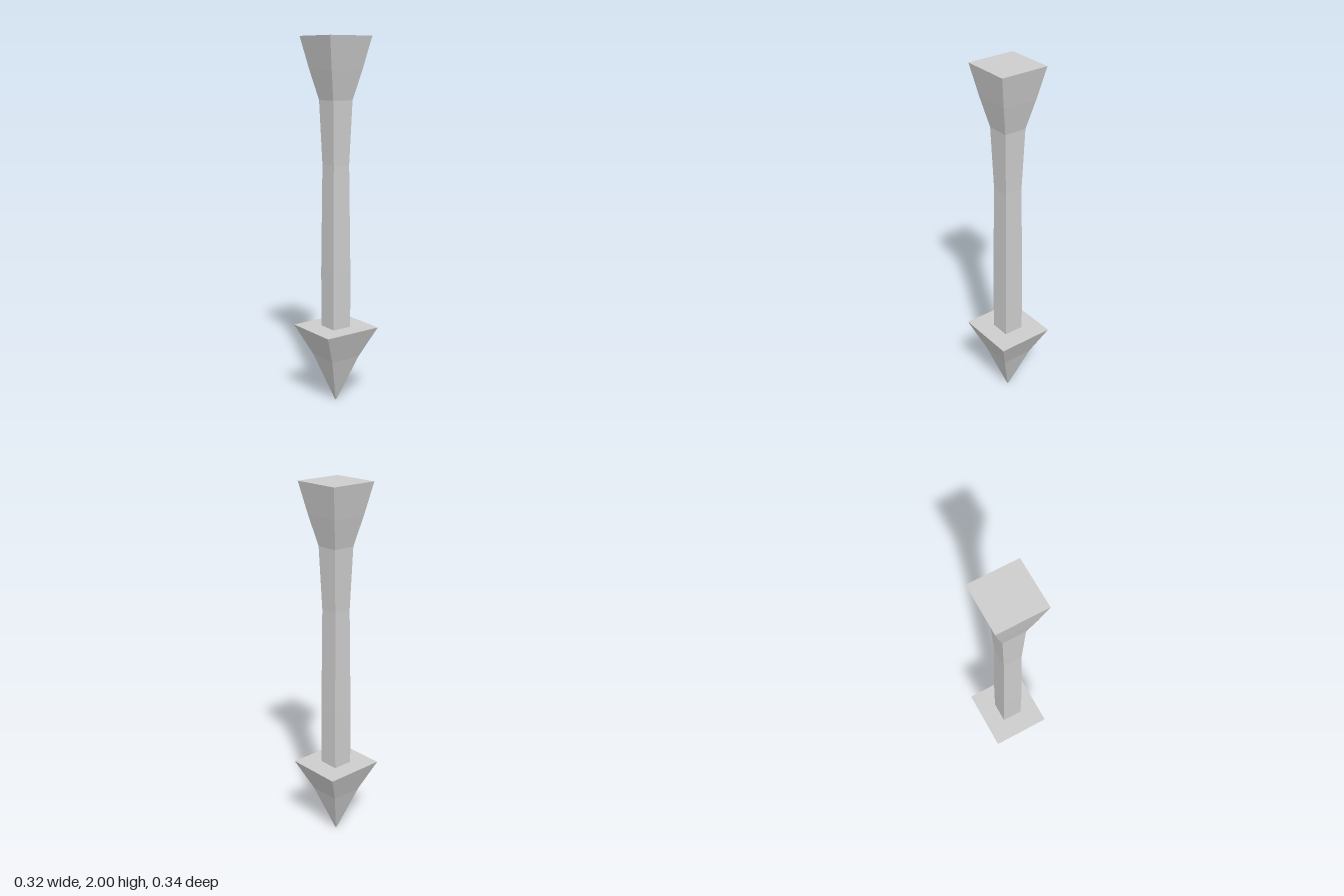
import * as THREE from 'three';

const stone = new THREE.MeshStandardMaterial({ color: 0xcccccc, flatShading: true });
stone.name = 'light grey';

// Square-section loft through [y, halfWidthX, halfWidthZ] levels, lowest first, capped at both ends
function squareLoft(name, levels) {
  const corners = [[1, 1], [1, -1], [-1, -1], [-1, 1]];
  const rings = levels.map(([y, hx, hz]) => corners.map(([sx, sz]) => [sx * hx, y, sz * hz]));
  const positions = [];
  const quad = (a, b, c, d) => positions.push(...a, ...b, ...c, ...a, ...c, ...d);

  for (let i = 0; i < rings.length - 1; i++) {
    const low = rings[i], up = rings[i + 1];
    for (let k = 0; k < 4; k++) {
      const n = (k + 1) % 4;
      quad(low[k], low[n], up[n], up[k]);
    }
  }
  quad(...rings[rings.length - 1]);
  quad(...[...rings[0]].reverse());

  const geometry = new THREE.BufferGeometry();
  geometry.setAttribute('position', new THREE.Float32BufferAttribute(positions, 3));
  geometry.computeVertexNormals();
  const mesh = new THREE.Mesh(geometry, stone);
  mesh.name = name;
  return mesh;
}

export function createModel() {
  const model = new THREE.Group();
  model.name = 'spike';

  // Pointed tip with a wide flat shoulder
  model.add(squareLoft('tip', [[0, 0.003, 0.003], [0.26, 0.09, 0.09], [0.43, 0.16, 0.17]]));

  // Slim shaft, narrowest above the middle, and the flared head on top
  model.add(squareLoft('shaft', [[0.43, 0.057, 0.057], [0.75, 0.057, 0.057], [1.33, 0.051, 0.051], [1.67, 0.063, 0.063]]));
  model.add(squareLoft('head', [[1.67, 0.063, 0.063], [1.83, 0.1, 0.1], [2, 0.135, 0.135]]));

  return model;
}
